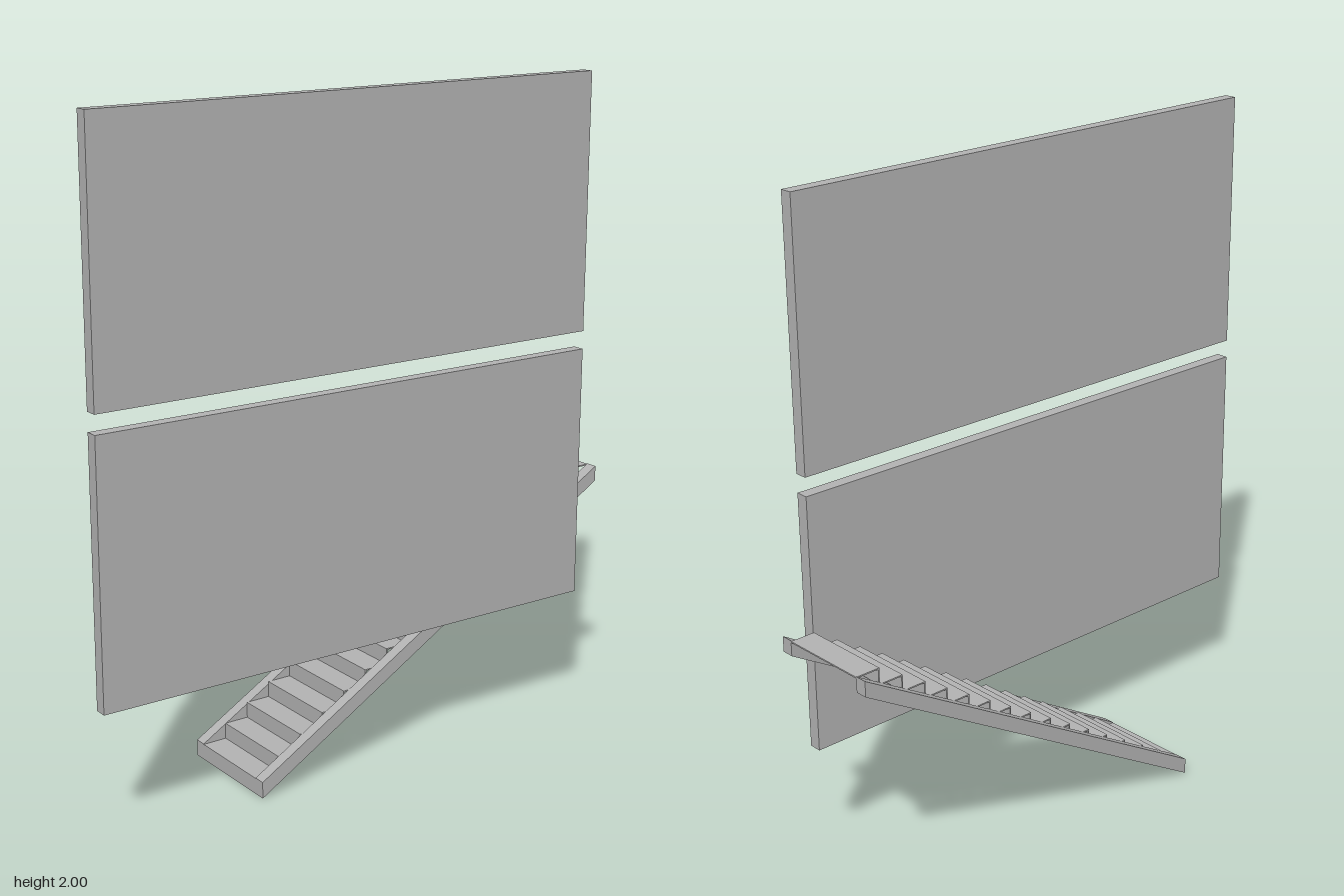
import * as THREE from 'three';

export function createModel() {
  const model = new THREE.Group();
  const grey = new THREE.MeshStandardMaterial({ color: 0xb2b2b2 });
  grey.name = 'plain grey';

  const add = (parent, name, geometry, x, y, z) => {
    const mesh = new THREE.Mesh(geometry, grey);
    mesh.name = name;
    mesh.position.set(x, y, z);
    parent.add(mesh);
  };

  // Two wall panels, one above the other
  const panel = new THREE.BoxGeometry(1.665, 0.775, 0.038);
  add(model, 'lowerWall', panel, -0.0475, 0.7825, 0.171);
  add(model, 'upperWall', panel, -0.0475, 1.6125, 0.171);

  const stairs = new THREE.Group();
  stairs.name = 'staircase';
  model.add(stairs);

  // Sloping side beams with upright end cuts
  const x0 = -0.365, x1 = 0.875;
  const beam = new THREE.Shape([
    new THREE.Vector2(x0, 0),
    new THREE.Vector2(x1, 0.733),
    new THREE.Vector2(x1, 0.78),
    new THREE.Vector2(x0, 0.05),
  ]);
  const beamGeometry = new THREE.ExtrudeGeometry(beam, { depth: 0.037, bevelEnabled: false });
  add(stairs, 'backStringer', beamGeometry, 0, 0, -0.19);
  add(stairs, 'frontStringer', beamGeometry, 0, 0, 0.131);

  // Thin risers and treads, open underneath
  const steps = 16, run = (x1 - x0) / steps, rise = 0.778 / steps;
  const thick = 0.004, width = 0.284, midZ = -0.011;
  const tread = new THREE.BoxGeometry(run, thick, width);
  const riser = new THREE.BoxGeometry(thick, rise, width);
  for (let i = 0; i < steps; i++) {
    const x = x0 + i * run, y = i * rise;
    add(stairs, 'riser', riser, x + thick / 2, y + rise / 2, midZ);
    add(stairs, 'tread', tread, x + run / 2, y + rise - thick / 2, midZ);
  }
  return model;
}
